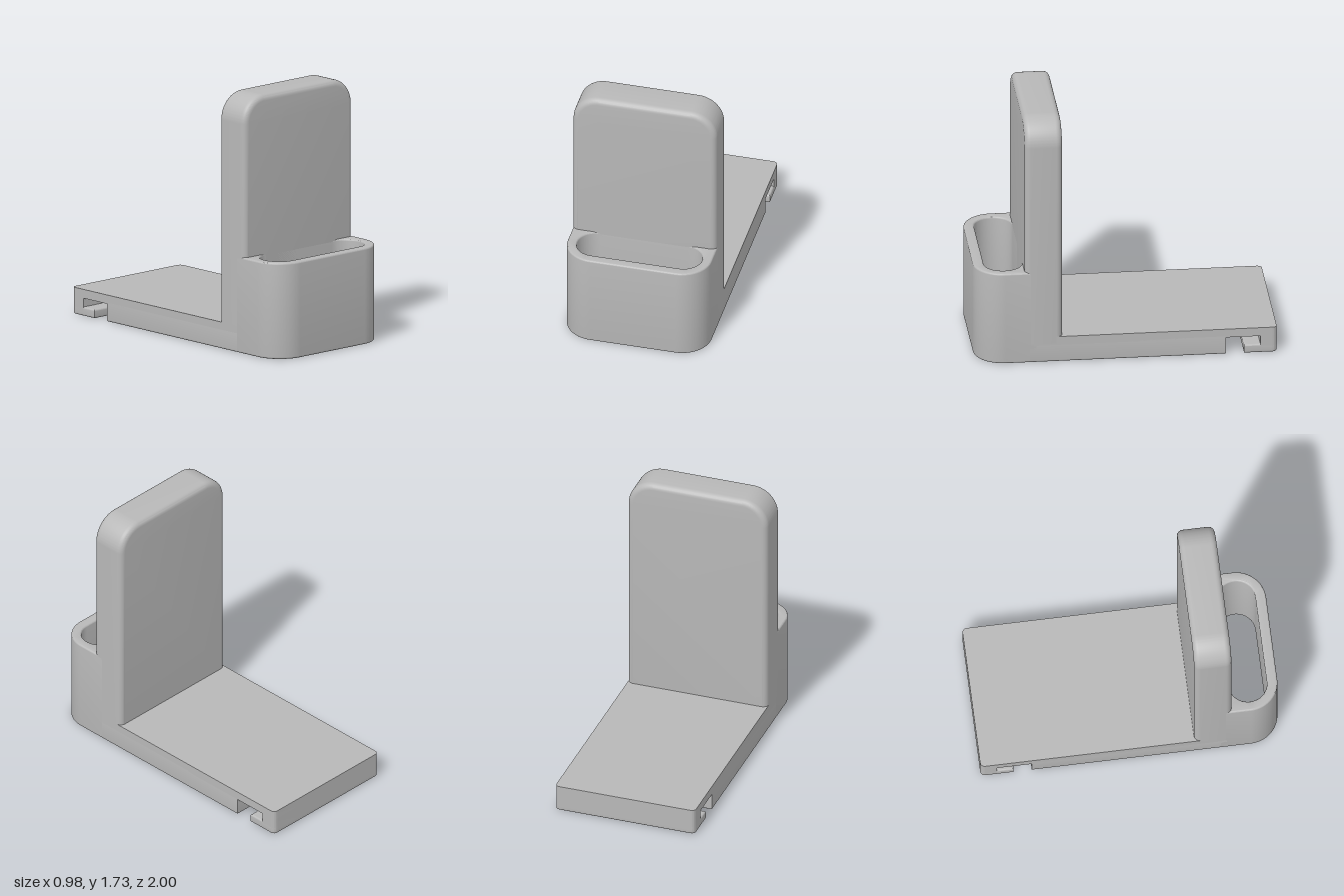
import * as THREE from 'three';
import { toCreasedNormals } from 'three/addons/utils/BufferGeometryUtils.js';

const W = 0.49; // half width of the whole stand

// Rectangle with one corner radius at its low end and another at its high end
function roundedRect(path, halfW, lo, hi, rLo, rHi) {
  const corner = (x, y, r, a) => {
    if (r > 0) path.absarc(x, y, r, a, a + Math.PI / 2, false);
    else path.lineTo(x, y);
  };
  path.moveTo(-halfW + rLo, lo);
  corner(halfW - rLo, lo + rLo, rLo, -Math.PI / 2);
  corner(halfW - rHi, hi - rHi, rHi, 0);
  corner(-halfW + rHi, hi - rHi, rHi, Math.PI / 2);
  corner(-halfW + rLo, lo + rLo, rLo, Math.PI);
  return path;
}

// Extrusion whose overall size includes its rounded edges
function extrude(shape, size, edge) {
  const geo = new THREE.ExtrudeGeometry(shape, {
    depth: size - 2 * edge,
    curveSegments: 20,
    bevelEnabled: edge > 0,
    bevelSize: edge,
    bevelThickness: edge,
    bevelOffset: -edge,
    bevelSegments: 6,
  });
  return geo.translate(0, 0, edge);
}

export function createModel() {
  const model = new THREE.Group();
  model.name = 'dockStand';
  const grey = new THREE.MeshStandardMaterial({ color: 0xb8b8b8 });
  grey.name = 'grey plastic';

  const add = (name, geo) => {
    const mesh = new THREE.Mesh(toCreasedNormals(geo, 0.5), grey);
    mesh.name = name;
    model.add(mesh);
  };
  // Plan outline (x, z) raised from y0 to y1
  const addPlan = (name, shape, y0, y1, edge) =>
    add(name, extrude(shape, y1 - y0, edge).rotateX(Math.PI / 2).translate(0, y1, 0));
  const plan = (z0, z1, rBack, rFront) => roundedRect(new THREE.Shape(), W, z0, z1, rBack, rFront);

  // Front cup with an oblong slot running right through it
  const cup = plan(0.6, 1, 0, 0.2);
  cup.holes.push(roundedRect(new THREE.Path(), 0.425, 0.675, 0.93, 0.127, 0.127));
  addPlan('cup', cup, 0, 0.65, 0.012);

  // Underside of the base with two blind round holes
  const underside = plan(-0.66, 0.64, 0, 0);
  for (const s of [-1, 1]) {
    const hole = new THREE.Path();
    hole.absarc(s * 0.28, 0.53, 0.047, 0, Math.PI * 2, false);
    underside.holes.push(hole);
  }
  addPlan('baseUnderside', underside, 0, 0.14, 0.012);

  // Top slab of the base
  addPlan('baseTop', plan(-1, 0.62, 0.03, 0), 0.12, 0.18, 0);

  // Hook at the back: riser and forward lip leave an L-shaped channel
  addPlan('hookRiser', plan(-1, -0.89, 0.03, 0), 0.03, 0.13, 0);
  addPlan('hookLip', plan(-1, -0.78, 0.03, 0), 0, 0.06, 0.012);

  // Upright backrest with rounded top corners and soft edges
  const upright = roundedRect(new THREE.Shape(), W, 0.13, 1.73, 0, 0.18);
  add('backrest', extrude(upright, 0.25, 0.04).translate(0, 0, 0.425));

  return model;
}
